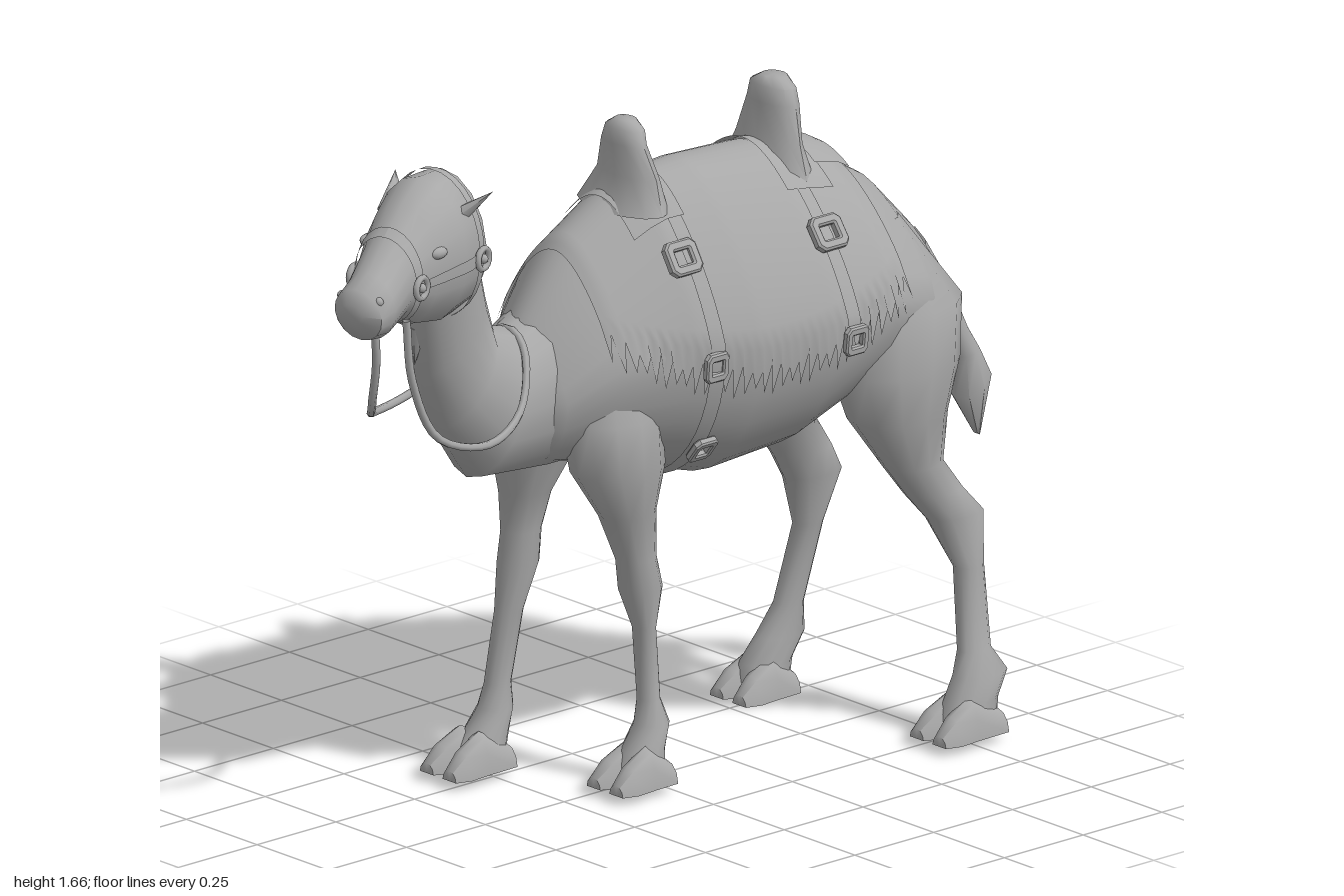
import * as THREE from 'three';
import { toCreasedNormals } from 'three/addons/utils/BufferGeometryUtils.js';

const grey = new THREE.MeshStandardMaterial({ color: 0xa8a8a8, side: THREE.DoubleSide });
grey.name = 'plain grey';

// Cross-section: [x1, y1, x2, y2, zCentre, halfWidth, skew]; the two points are opposite ends of an oval.
function ring(S, t, a, off = 0, pinch = 0) {
  const i = Math.max(0, Math.min(Math.floor(t), S.length - 2)), f = t - i;
  const [x1, y1, x2, y2, z, w, k] = [0, 1, 2, 3, 4, 5, 6].map(j => (S[i][j] ?? 0) * (1 - f) + (S[i + 1][j] ?? 0) * f);
  const c = Math.cos(a), hx = (x1 - x2) / 2, hy = (y1 - y2) / 2;
  const g = c * (1 + off / Math.hypot(hx, hy));
  const W = (w + off) * (1 - pinch * Math.max(0, c)) * Math.sin(a);
  return new THREE.Vector3((x1 + x2) / 2 + hx * g + k * W, (y1 + y2) / 2 + hy * g, z + W);
}

// Closed skin through a row of cross-sections, flattened at the floor height
function loft(S, n = 14, pinch = 0, floor = 0) {
  const pos = [], idx = [], m = S.length;
  for (let i = 0; i < m; i++)
    for (let j = 0; j < n; j++) {
      const p = ring(S, i, j / n * Math.PI * 2, 0, pinch);
      pos.push(p.x, Math.max(p.y, floor), p.z);
    }
  for (const s of [S[0], S[m - 1]]) pos.push((s[0] + s[2]) / 2, (s[1] + s[3]) / 2, s[4]);
  const A = S[0], B = S[m - 1];
  const dx = B[0] + B[2] - A[0] - A[2], dy = B[1] + B[3] - A[1] - A[3];
  const flip = (A[1] - A[3]) * dx - (A[0] - A[2]) * dy < 0;
  const tri = (a, b, c) => flip ? idx.push(a, c, b) : idx.push(a, b, c);
  for (let j = 0; j < n; j++) {
    const k = (j + 1) % n, e = (m - 1) * n;
    for (let i = 0; i < m - 1; i++) {
      tri(i * n + j, i * n + k, i * n + n + j);
      tri(i * n + k, i * n + n + k, i * n + n + j);
    }
    tri(m * n, k, j);
    tri(m * n + 1, e + j, e + k);
  }
  const g = new THREE.BufferGeometry();
  g.setAttribute('position', new THREE.Float32BufferAttribute(pos, 3));
  g.setIndex(idx);
  return toCreasedNormals(g, 0.95);
}

// Open sheet: fn(u, v) gives the point
function sheet(fn, nu, nv) {
  const g = new THREE.PlaneGeometry(1, 1, nu, nv), p = g.attributes.position;
  for (let i = 0; i < p.count; i++) p.setXYZ(i, ...fn(p.getX(i) + 0.5, p.getY(i) + 0.5).toArray());
  g.computeVertexNormals();
  return g;
}

const PINCH = 0.36;
const BODY = [[-.36, 1.13, .9, -.1, .09], [-.3, 1.2, .84, -.09, .16], [-.18, 1.36, .82, -.09, .22],
  [0, 1.48, .77, -.07, .27], [.15, 1.5, .73, -.05, .305], [.35, 1.5, .76, -.025, .325], [.52, 1.46, .85, 0, .32],
  [.65, 1.38, .88, .02, .285], [.75, 1.27, .92, .035, .215], [.81, 1.17, .98, .045, .11]]
  .map(([x, t, b, z, w]) => [x, t, x, b, z, w]);

const HEAD = [[-1, 1.43, -.995, 1.38, .08, .03, .3], [-.985, 1.465, -.965, 1.335, .08, .062, .3],
  [-.93, 1.49, -.92, 1.325, .065, .068, .3], [-.85, 1.55, -.84, 1.35, .035, .075, .3],
  [-.77, 1.61, -.77, 1.31, .005, .1, .3], [-.69, 1.655, -.68, 1.29, -.02, .122, .3],
  [-.6, 1.65, -.58, 1.3, -.045, .112, .3], [-.55, 1.56, -.51, 1.38, -.06, .065, .3]];

const NECK = [[-.57, 1.6, -.69, 1.4, -.04, .085], [-.5, 1.45, -.67, 1.26, -.06, .08], [-.45, 1.3, -.64, 1.13, -.08, .085],
  [-.41, 1.2, -.57, .98, -.1, .1], [-.33, 1.18, -.47, .835, -.1, .13], [-.2, 1.25, -.27, .82, -.1, .16], [0, 1.2, 0, .83, -.08, .15]];

const TAIL = [[.74, 1.08, .81, 1.21, .06, .07], [.83, 1.02, .88, 1.08, .09, .03], [.88, .92, .935, .95, .1, .024],
  [.91, .87, .97, .89, .1, .03], [.9, .77, 1, .83, .1, .05], [.965, .67, .975, .665, .1, .01]];

// Legs: [y, front x, back x, zCentre, halfWidth]
const LEGS = {
  hindLeftLeg: [[1.3, .55, .68, .12, .07], [1.1, .46, .81, .18, .145], [.95, .45, .79, .2, .135], [.83, .48, .74, .22, .108],
    [.7, .57, .73, .23, .062], [.62, .63, .79, .235, .055], [.55, .69, .855, .24, .047], [.42, .76, .84, .26, .033],
    [.22, .75, .84, .285, .033], [.16, .73, .88, .295, .05], [.1, .7, .85, .295, .052], [.02, .68, .835, .295, .066]],
  hindRightLeg: [[1.3, .55, .68, -.08, .07], [1.1, .45, .8, -.12, .165], [.95, .43, .77, -.165, .148], [.83, .46, .74, -.18, .11],
    [.7, .54, .71, -.195, .065], [.62, .6, .77, -.205, .055], [.55, .64, .81, -.21, .047], [.42, .69, .77, -.23, .033],
    [.22, .66, .74, -.265, .033], [.14, .62, .75, -.28, .05], [.08, .58, .72, -.29, .054], [0, .57, .7, -.29, .066]],
  frontLeftLeg: [[1.1, -.22, 0, 0, .08], [.95, -.26, 0, .03, .112], [.82, -.25, 0, .05, .098], [.7, -.17, -.02, .05, .062],
    [.58, -.115, -.01, .045, .045], [.5, -.1, .012, .04, .05], [.4, -.06, -.005, .04, .032], [.22, -.05, .005, .045, .03],
    [.16, -.06, .025, .05, .045], [.1, -.1, .01, .05, .052], [.02, -.13, 0, .055, .066]],
  frontRightLeg: [[1.1, -.26, 0, -.18, .08], [.95, -.27, 0, -.2, .112], [.82, -.26, -.03, -.22, .098], [.7, -.225, -.09, -.24, .062],
    [.6, -.215, -.11, -.25, .045], [.52, -.22, -.115, -.255, .05], [.4, -.225, -.15, -.265, .032], [.22, -.245, -.175, -.28, .03],
    [.16, -.255, -.17, -.285, .045], [.1, -.3, -.18, -.29, .052], [.02, -.35, -.2, -.29, .066]],
};

// Where x falls in the row of body sections, and the angle at which the body reaches height y
function bodyT(x) {
  let i = 0;
  while (i < BODY.length - 2 && BODY[i + 1][0] < x) i++;
  return i + (x - BODY[i][0]) / (BODY[i + 1][0] - BODY[i][0]);
}
function bodyAngle(x, y) {
  const t = bodyT(x), top = ring(BODY, t, 0).y, bottom = ring(BODY, t, Math.PI).y;
  return Math.acos(THREE.MathUtils.clamp((2 * y - top - bottom) / (top - bottom), -1, 1));
}
const onBody = (x, a, off) => ring(BODY, bodyT(x), a, off, PINCH);
const bodyStrip = (x0, x1, a0, a1, off, n = 20) =>
  sheet((u, v) => onBody(x0 + (x1 - x0) * u, a0 + (a1 - a0) * v, off), 3, n);
const headStrip = (t0, t1, a0, a1, nu, nv) =>
  sheet((u, v) => ring(HEAD, t0 + (t1 - t0) * u, a0 + (a1 - a0) * v, .008), nu, nv);

// Rectangular buckle frame
function buckleGeometry() {
  const rect = (P, w, h, c) => new P([[-w + c, -h], [w - c, -h], [w, -h + c], [w, h - c], [w - c, h], [-w + c, h], [-w, h - c], [-w, -h + c]]
    .map(p => new THREE.Vector2(...p)));
  const s = rect(THREE.Shape, .043, .038, .012);
  s.holes.push(rect(THREE.Path, .028, .023, .004));
  return new THREE.ExtrudeGeometry(s, { depth: .014, bevelSize: .005, bevelThickness: .005, bevelSegments: 1 });
}

export function createModel() {
  const model = new THREE.Group();
  model.name = 'saddledCamel';
  const add = (name, geo) => {
    const m = new THREE.Mesh(geo, grey);
    m.name = name;
    model.add(m);
    return m;
  };

  add('body', loft(BODY, 32, PINCH));
  add('neck', loft(NECK, 16));
  add('head', loft(HEAD, 16));
  add('tail', loft(TAIL, 8));

  // Legs with two splayed, flat-soled toes each
  for (const [name, rows] of Object.entries(LEGS)) {
    add(name, loft(rows.map(([y, f, b, z, w]) => [f, y, b, y, z, w]), 12));
    const [y, f, b, z] = rows[rows.length - 1];
    const toe = (x, h, dz, w) => [x, y + h, x, y - h, z + dz, w];
    for (const s of [-1, 1])
      add(name + 'Toe', loft([toe(b, .05, s * .03, .04), toe(f + .06, .1, s * .032, .04),
        toe(f, .065, s * .037, .04), toe(f - .04, .025, s * .04, .024)], 12, 0, y));
  }

  // Ears, eyes and nostrils
  for (const s of [-1, 1]) {
    const ear = add('ear', new THREE.ConeGeometry(.042, .12, 6));
    ear.position.copy(ring(HEAD, 5.6, s * .95, .012));
    ear.scale.z = .6;
    ear.rotation.set(s * .75, 0, -.6);
    const eye = add('eye', new THREE.SphereGeometry(.022, 10, 8));
    eye.position.copy(ring(HEAD, 4.1, s * 1.28, -.006));
    eye.scale.set(1.2, .7, .7);
    const nostril = add('nostril', new THREE.SphereGeometry(.012, 8, 6));
    nostril.position.copy(ring(HEAD, 1.3, s * 1, -.006));
  }

  // Tufts down the nape and one at the throat
  for (const [x, y, z, tilt] of [[-.55, 1.54, -.055, -2.75], [-.5, 1.42, -.065, -2.75], [-.46, 1.32, -.075, -2.75], [-.655, 1.21, -.07, 3]]) {
    const tuft = add('neckTuft', new THREE.ConeGeometry(.025, .09, 5));
    tuft.position.set(x, y, z);
    tuft.rotation.z = tilt;
  }

  // Blanket with a ragged hem
  add('blanket', sheet((u, v) => {
    const x = -.2 + .77 * u, i = Math.round(u * 64);
    const jag = (i % 2 ? .035 : -.025) + .012 * Math.sin(i * 2.3);
    const hem = 1.02 + .9 * (x - .16) ** 2 + (Math.abs(v - .5) > .49 ? jag : .04);
    return onBody(x, bodyAngle(x, hem) * (2 * v - 1), .009);
  }, 64, 28));

  // Saddle horns with their pads
  add('saddleFrontHorn', loft([[-.08, 1.42, .07, 1.42, -.065, .14], [-.035, 1.5, .05, 1.5, -.06, .1],
    [-.042, 1.58, .03, 1.58, -.06, .07], [-.035, 1.615, .03, 1.615, -.06, .06], [-.02, 1.635, .022, 1.635, -.06, .03]], 12));
  add('saddleRearHorn', loft([[.33, 1.43, .48, 1.43, -.01, .14], [.37, 1.51, .45, 1.51, -.01, .11],
    [.38, 1.6, .465, 1.6, -.01, .08], [.385, 1.64, .46, 1.64, -.01, .07], [.4, 1.66, .455, 1.66, -.01, .035]], 12));
  add('saddleFrontPad', bodyStrip(-.07, .06, -.7, .7, .018));
  add('saddleRearPad', bodyStrip(.34, .47, -.7, .7, .018));
  add('saddleBackPlate', bodyStrip(.45, .55, -.5, .5, .032));

  // Straps: a girth right round the belly, and two short rear ones
  add('girthStrap', bodyStrip(.02, .055, .5, Math.PI * 2 - .5, .014, 40));
  for (const s of [-1, 1]) add('rearStrap', bodyStrip(.37, .405, s * .5, s * 1.65, .014));

  const buckle = buckleGeometry();
  const lower = [[.03, 1.08], [.39, 1.09], [.055, .86]];
  for (const [s, upper] of [[1, [[.01, 1.32], [.39, 1.32]]], [-1, [[.08, 1.26], [.45, 1.32]]]])
    for (const [x, y] of [...upper, ...lower]) {
      const a = s * bodyAngle(x, y), m = add('buckle', buckle);
      const normal = onBody(x, a + .05, 0).sub(onBody(x, a - .05, 0)).cross(new THREE.Vector3(1, 0, 0)).normalize();
      m.position.copy(onBody(x, a, .012));
      m.lookAt(m.position.clone().add(normal));
      if (y < 1.2) m.scale.set(.72, .85, .8);
    }

  // Bridle
  add('noseband', headStrip(2.95, 3.25, 0, Math.PI * 2, 2, 28));
  add('headBand', headStrip(5.5, 5.75, 0, Math.PI * 2, 2, 28));
  for (const s of [-1, 1]) {
    add('cheekStrap', headStrip(3.1, 5.6, s * 1.58, s * 1.75, 10, 2));
    for (const t of [3.1, 5.6]) {
      const r = add('bridleRing', new THREE.TorusGeometry(.025, .008, 6, 16));
      r.position.copy(ring(HEAD, t, s * 1.67, .012));
      r.rotation.y = .3;
      const stud = add('bridleStud', new THREE.SphereGeometry(.012, 8, 6));
      stud.position.copy(r.position);
    }
  }

  // Reins looping round the base of the neck
  const reins = [[-.84, 1.36, .1], [-.82, 1.2, .1], [-.75, 1.05, .11], [-.6, 1, .12], [-.45, 1.04, .07], [-.36, 1.15, -.02],
    [-.345, 1.18, -.1], [-.38, 1.11, -.2], [-.5, 1.02, -.25], [-.65, 1.01, -.22], [-.77, 1.08, -.1], [-.81, 1.22, -.04], [-.83, 1.36, -.03]];
  add('reins', new THREE.TubeGeometry(new THREE.CatmullRomCurve3(reins.map(p => new THREE.Vector3(...p))), 60, .01, 6));

  return model;
}
